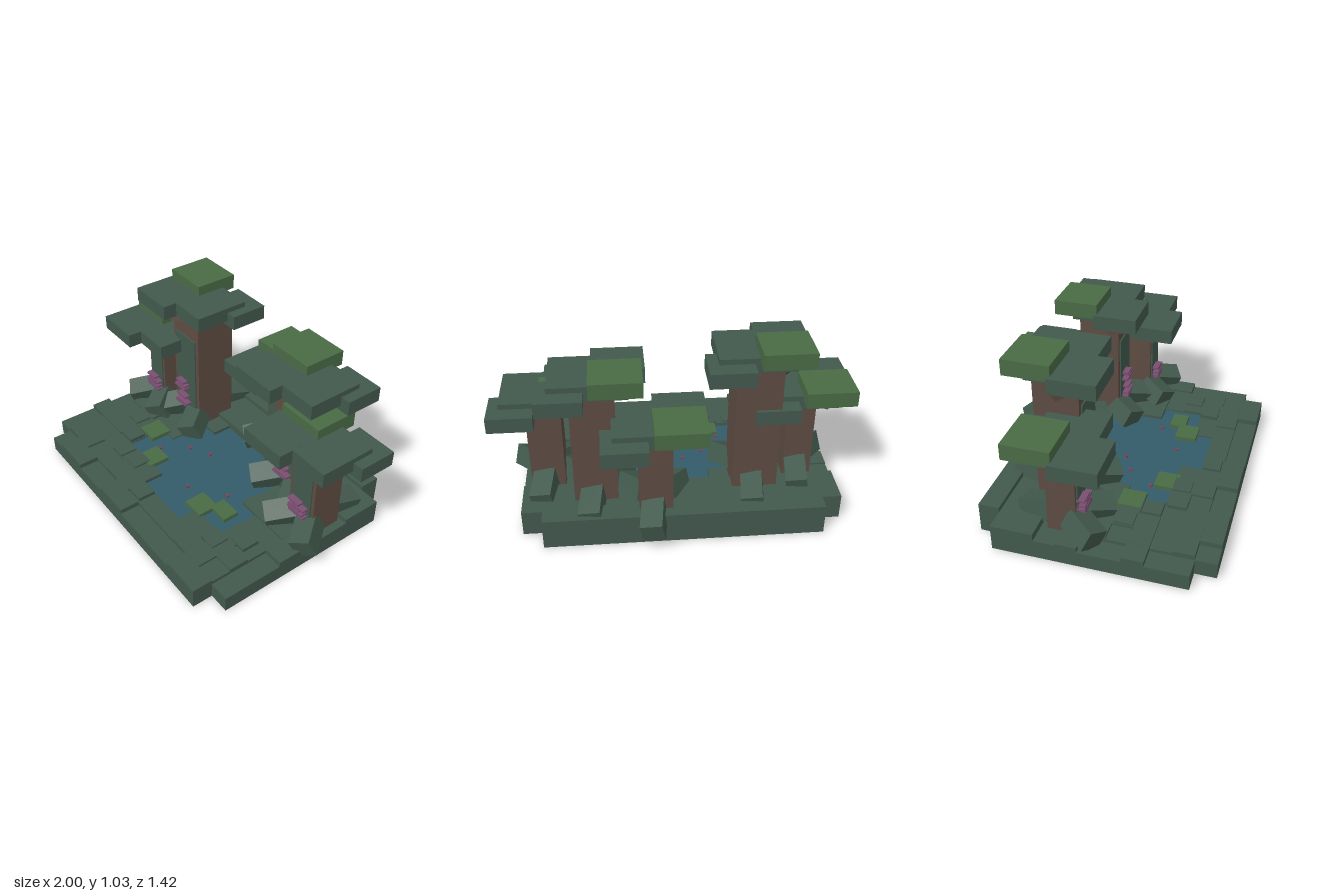
import * as THREE from 'three';
import { mergeGeometries } from 'three/addons/utils/BufferGeometryUtils.js';

const mat = (name, color) => {
  const m = new THREE.MeshStandardMaterial({ color });
  m.name = name;
  return m;
};

// box from min/max ranges
const boxGeo = (x0, x1, y0, y1, z0, z1) =>
  new THREE.BoxGeometry(x1 - x0, y1 - y0, z1 - z0)
    .translate((x0 + x1) / 2, (y0 + y1) / 2, (z0 + z1) / 2);

export function createModel() {
  const moss = mat('darkMoss', 0x42594d);
  const leaf = mat('brightLeaf', 0x496b45);
  const bark = mat('bark', 0x5d4c42);
  const waterBlue = mat('waterBlue', 0x345b69);
  const mauve = mat('fungusMauve', 0x7a4e70);
  const red = mat('petalRed', 0x8a3f55);

  const model = new THREE.Group();
  const add = (parent, name, geo, material) => {
    const mesh = new THREE.Mesh(geo, material);
    mesh.name = name;
    parent.add(mesh);
    return mesh;
  };

  // ---- stepped ground on a 15 x 11 grid, corners cut, with a pool left open
  const X0 = -0.913, Z0 = -0.605, C = 0.1176, NX = 15, NZ = 11;
  const pool = { 3: [6, 10], 4: [5, 10], 5: [5, 10], 6: [4, 11], 7: [4, 11], 8: [7, 9] };
  const ground = [], water = [];
  const hash = (i, j) => {
    const s = Math.sin(i * 12.9898 + j * 78.233) * 43758.5453;
    return s - Math.floor(s);
  };
  for (let j = 0; j < NZ; j++) {
    for (let i = 0; i < NX; i++) {
      const rim = i === 0 || i === NX - 1 || j === NZ - 1;
      if ((i === 0 || i === NX - 1) && (j === 0 || j === NZ - 1)) continue;
      const x = X0 + i * C, z = Z0 + j * C;
      const p = pool[j];
      if (p && i >= p[0] && i <= p[1]) {
        water.push(boxGeo(x, x + C, 0, 0.1, z, z + C));
        continue;
      }
      const r = hash(Math.floor((i + j) / 2), j);
      let h = j === 0 ? 0.175 : j < 3 ? 0.148 : r > 0.5 ? 0.12 : 0.108;
      if (rim && j > 3) h = r > 0.45 ? 0.118 : 0.09;
      ground.push(boxGeo(x, x + C, 0, h, z, z + C));
    }
  }
  add(model, 'ground', mergeGeometries(ground), moss);
  add(model, 'poolWater', mergeGeometries(water), waterBlue);

  // ---- stepping stones on the banks
  for (const [x, z] of [[-0.03, 0.51], [-0.27, 0.39], [-0.41, 0.4], [-0.62, 0.16], [-0.5, 0.28], [0.51, 0.39], [0.62, 0.27]]) {
    add(model, 'bankStone', boxGeo(x - 0.052, x + 0.052, 0.05, 0.13, z - 0.052, z + 0.052), moss);
  }

  // ---- leafy pads and floating petals
  for (const [x0, x1, z0, z1] of [[-0.52, -0.385, 0.08, 0.215], [-0.31, -0.18, 0.23, 0.36], [0.19, 0.325, 0.235, 0.36], [0.305, 0.435, 0.175, 0.27]]) {
    add(model, 'leafPad', boxGeo(x0, x1, 0.08, 0.125, z0, z1), leaf);
  }
  for (const [x, z] of [[-0.07, 0.0], [-0.19, 0.06], [-0.3, 0.21], [0.08, 0.27], [0.28, 0.13]]) {
    add(model, 'petal', boxGeo(x - 0.008, x + 0.008, 0.098, 0.114, z - 0.008, z + 0.008), red);
  }

  // ---- trees: trunk centre, trunk width, canopy top, moss panel top, fungus layout
  const trees = [
    { x: -0.715, z: -0.135, w: 0.16, top: 0.68, panel: 0.51, fungus: 'low' },
    { x: -0.445, z: -0.225, w: 0.25, top: 0.975, panel: 0.73, fungus: 'high' },
    { x: 0.12, z: -0.45, w: 0.18, top: 0.68, panel: 0.51 },
    { x: 0.44, z: -0.285, w: 0.24, top: 0.885, panel: 0.64, fungus: 'high' },
    { x: 0.71, z: -0.135, w: 0.19, top: 0.71, panel: 0.53, fungus: 'low' },
  ];
  const shelves = {
    low: [[0.24, -0.055, 0.06], [0.255, -0.065, 0.05], [0.275, -0.06, 0.03], [0.292, -0.03, 0.06], [0.31, -0.065, 0.02]],
    high: [[0.24, -0.07, 0.03], [0.257, -0.06, 0.05], [0.3, -0.055, 0.035], [0.36, -0.075, 0.03], [0.38, -0.04, 0.03], [0.4, -0.06, 0.015]],
  };

  for (const t of trees) {
    const tree = new THREE.Group();
    tree.name = 'tree';
    tree.position.set(t.x, 0, t.z);
    model.add(tree);
    const r = t.w / 2, f = r, y = t.top;

    add(tree, 'trunk', boxGeo(-r, r, 0.05, y - 0.04, -r, r), bark);
    const pw = r * 0.78;
    add(tree, 'mossPanel', boxGeo(-pw, pw, 0.1, t.panel, f, f + 0.008), moss);

    // slanted branch holding the front slab
    const branch = add(tree, 'branch', new THREE.BoxGeometry(0.1, 0.09, 0.24), bark);
    branch.position.set(-0.03 - r * 0.55, y - 0.108, 0.02 + r * 0.45);
    branch.lookAt(branch.position.clone().add(new THREE.Vector3(-0.14, 0.06, 0.085)));

    // layered canopy
    add(tree, 'canopyFront', boxGeo(-0.285, 0, y - 0.085, y, 0.02, 0.272), moss);
    add(tree, 'canopyMain', boxGeo(-0.19, 0.225, y - 0.0852, y - 0.0002, -0.14, 0.188), moss);
    add(tree, 'canopyBack', boxGeo(0.04, 0.285, y - 0.115, y - 0.03, -0.235, -0.015), moss);
    add(tree, 'canopyCap', boxGeo(-0.265, 0.012, y - 0.03, y + 0.058, -0.22, 0.035), leaf);

    // flared roots: two in front, one behind
    for (const [a, roll] of [[0.63, 0.4], [-0.63, -0.4], [Math.PI - 0.12, 0.15]]) {
      const root = add(tree, 'root', new THREE.BoxGeometry(0.12, 0.12, 0.19), moss);
      const d = r + 0.075;
      root.rotation.set(0.24, a, roll, 'YXZ');
      root.position.set(Math.sin(a) * d, 0.165, Math.cos(a) * d);
    }

    // shelf fungi on the front
    for (const [fy, x0, x1] of shelves[t.fungus] || []) {
      add(tree, 'shelfFungus', boxGeo(x0, x1, fy - 0.006, fy + 0.006, f, f + 0.045), mauve);
    }
  }
  return model;
}
